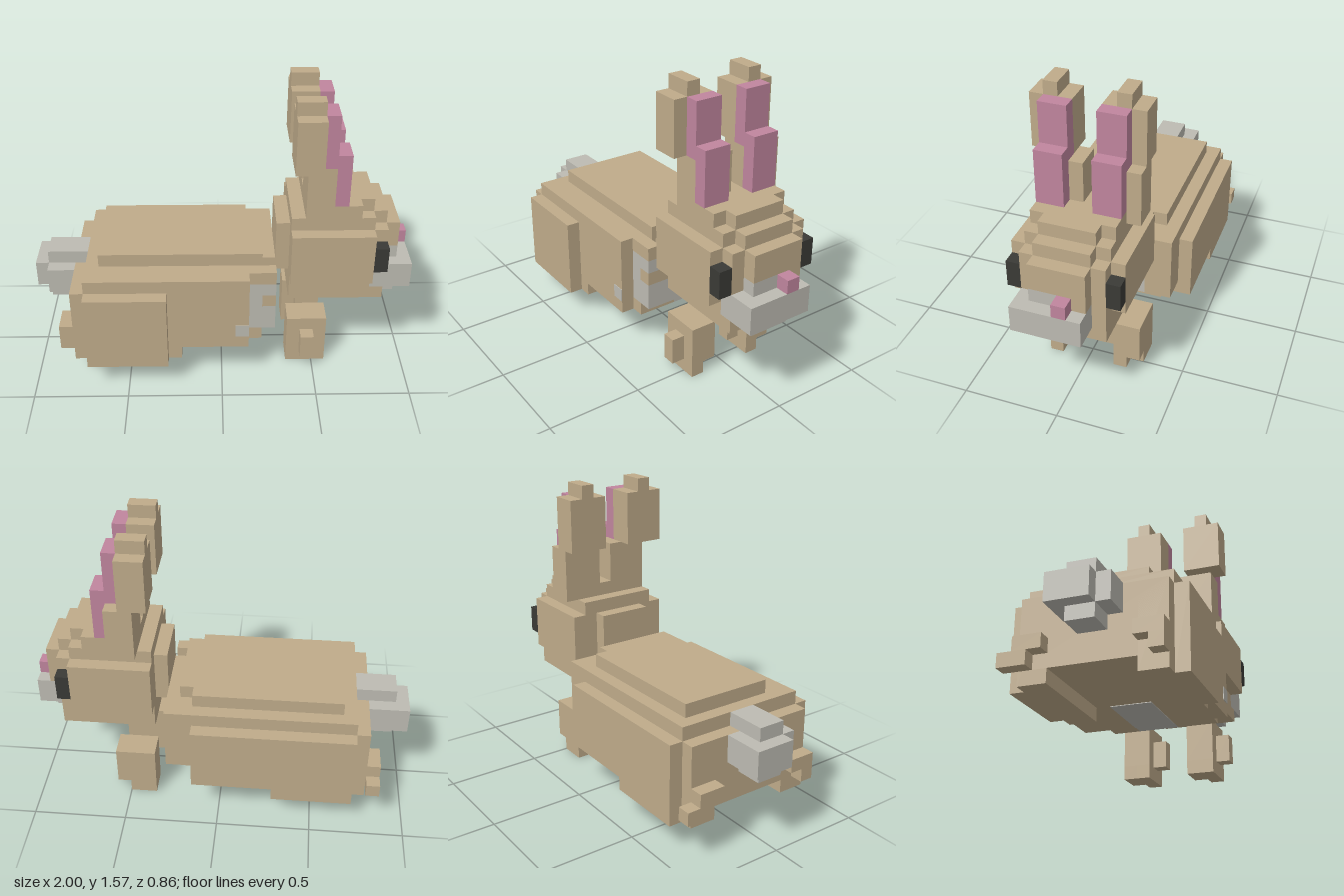
import * as THREE from 'three';

export function createModel() {
  const model = new THREE.Group();
  const U = 2 / 28; // size of one block

  const material = (name, color) => {
    const m = new THREE.MeshStandardMaterial({ color });
    m.name = name;
    return m;
  };
  const tan = material('tanFur', 0xbfab8a);
  const grey = material('paleFur', 0xbdbbb2);
  const pink = material('pinkSkin', 0xc0859e);
  const black = material('eyeBlack', 0x3a3a36);

  // Each box is [x0, x1, y0, y1, z0, z1] in whole blocks.
  function part(name, mat, boxes) {
    const group = new THREE.Group();
    group.name = name;
    for (const [x0, x1, y0, y1, z0, z1] of boxes) {
      const geo = new THREE.BoxGeometry((x1 - x0) * U, (y1 - y0) * U, (z1 - z0) * U);
      const mesh = new THREE.Mesh(geo, mat);
      mesh.name = name + 'Block';
      mesh.position.set(((x0 + x1) / 2 - 14) * U, ((y0 + y1) / 2) * U, ((z0 + z1) / 2) * U);
      group.add(mesh);
    }
    model.add(group);
  }

  // Body, stepped towards the back
  part('body', tan, [
    [3, 16, 3, 8, -5, 5],
    [4, 16, 3, 8, -6, -5],
    [4, 16, 8, 9, -5, 5],
    [5, 16, 9, 10, -4, 3],
    [16, 17, 9, 10, -3, 3],
    [16, 18, 8, 9, -5, 2],
    [16, 18, 8, 9, 3, 4],
    [16, 18, 4, 8, -5, -3],
    [16, 17, 3, 4, -4, -2],
    [16, 17, 3, 4, 1, 4],
    [17, 18, 6, 7, 2, 4],
  ]);
  part('chest', grey, [
    [16, 17, 4, 8, -3, 4],
    [17, 18, 4, 6, -3, 4],
    [17, 18, 6, 7, -3, 2],
    [17, 18, 7, 8, -3, 4],
    [16, 17, 3, 4, -2, 1],
    [11, 16, 2.95, 3, -2, 1],
    [15, 16, 4, 5, 5, 5.05],
  ]);

  // Hind legs
  part('leftHaunch', tan, [[3, 11, 2, 8, 3, 5], [4, 10, 2, 8, 5, 6]]);
  part('rightHaunch', tan, [[3, 11, 2, 8, -5, -3], [4, 10, 2, 8, -6, -5]]);
  part('leftHindFoot', tan, [[2, 3, 3, 4, 4, 5], [2, 3, 4, 5, 3, 5]]);
  part('rightHindFoot', tan, [[2, 3, 3, 4, -6, -4], [2, 3, 4, 5, -5, -3]]);

  // Front paws
  part('leftFrontPaw', tan, [
    [19, 22, 1, 4, 1, 3], [19, 22, 0, 1, 2, 3], [19, 21, 0, 1, 1, 2], [20, 21, 1, 3, 3, 4],
  ]);
  part('rightFrontPaw', tan, [
    [19, 22, 1, 4, -4, -2], [19, 22, 0, 1, -3, -2], [19, 21, 0, 1, -4, -3], [20, 21, 1, 3, -2, -1],
  ]);

  part('tail', grey, [
    [1, 3, 5, 9, -1, 1],
    [1, 3, 6, 8, -2, 2],
    [3, 4, 8, 9, -1, 1],
    [0, 1, 6, 8, -2, 1],
  ]);

  // Head
  part('head', tan, [
    [18, 19, 8, 12, -2, 2],
    [19, 25, 7, 13, -3, 3],
    [19, 25, 8, 12, -4, 4],
    [19, 26, 6, 7, -3, 3],
    [20, 24, 13, 14, -3, 3],
    [24, 25, 13, 14, -2, 2],
    [25, 26, 9, 12, -3, 3],
    [25, 26, 12, 13, -2, 2],
    [25, 26, 7, 9, -3, -2],
    [26, 27, 10, 12, -2, 2],
    [26, 27, 9, 10, -2, 0],
  ]);
  part('muzzle', grey, [
    [25, 28, 7, 9, -2, 3],
    [26, 27, 6, 7, -1, 2],
    [26, 27, 9, 10, 0, 2],
  ]);
  part('nose', pink, [[27, 28, 9, 10, -1, 0]]);
  part('leftEye', black, [[25, 26, 9, 11, 3, 4]]);
  part('rightEye', black, [[25, 26, 9, 11, -4, -3]]);

  // Ears
  part('leftEar', tan, [[20, 22, 13, 17, 0, 3], [19, 21, 17, 21, 1, 4], [19, 21, 21, 22, 2, 3]]);
  part('rightEar', tan, [[20, 22, 13, 17, -4, -1], [19, 21, 17, 21, -4, -1], [19, 21, 21, 22, -3, -2]]);
  for (const [name, z] of [['leftInnerEar', 1], ['rightInnerEar', -3]]) {
    part(name, pink, [[21, 22, 17, 21, z, z + 2], [22, 23, 14, 18, z, z + 2]]);
  }

  return model;
}
